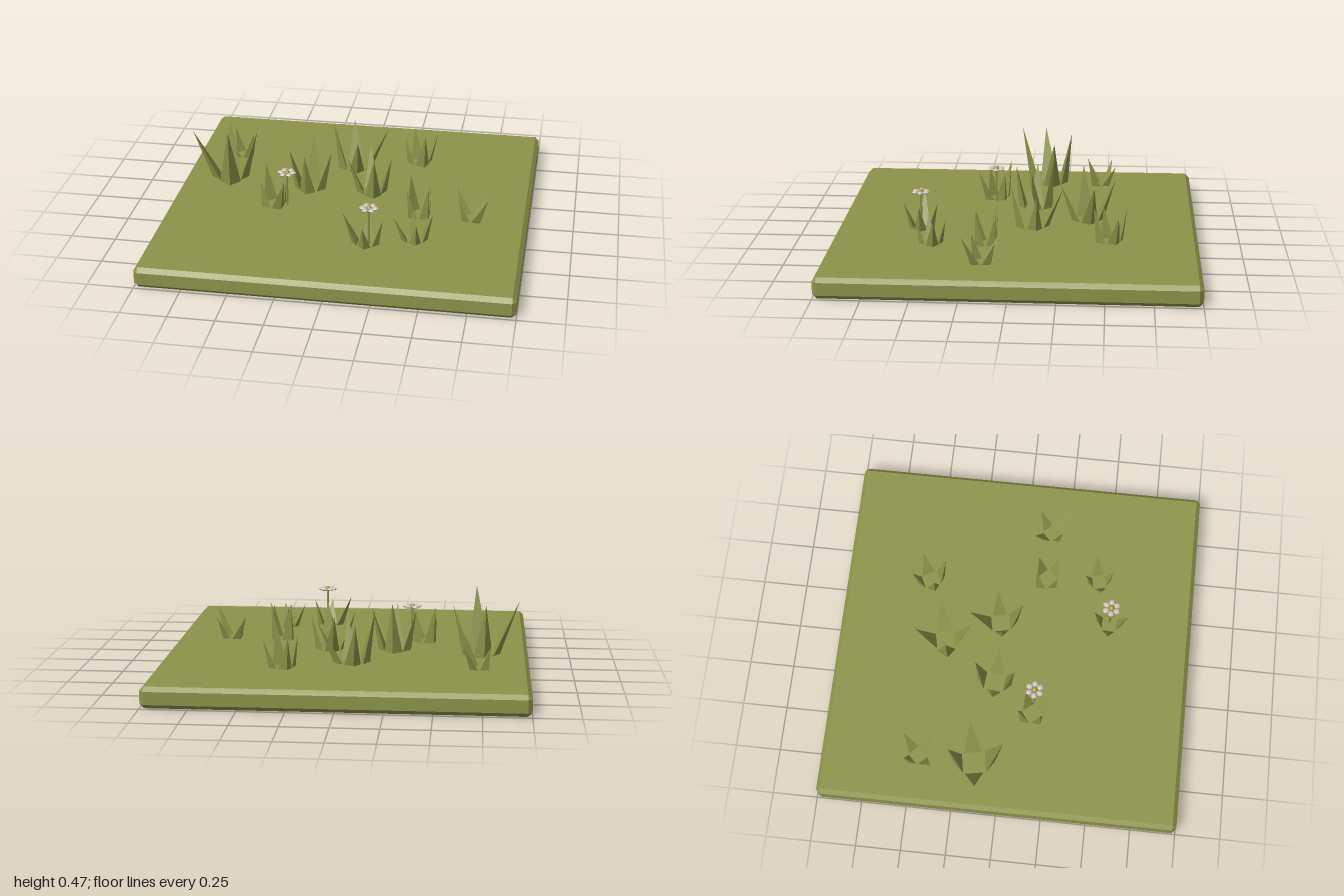
import * as THREE from 'three';
import { ConvexGeometry } from 'three/addons/geometries/ConvexGeometry.js';

const flat = (name, color) => {
  const m = new THREE.MeshStandardMaterial({ color, flatShading: true });
  m.name = name;
  return m;
};

const TOP = 0.115;

// Clumps of four blades a quarter turn apart, the tallest first:
// centre x, z, turn of the tallest blade in degrees, its tip height, reach of each blade
const CLUMPS = [
  [-0.73, -0.46, 45, 0.28, [0.11, 0.12, 0.09, 0.12]],
  [-0.74, -0.15, 80, 0.47, [0.17, 0.21, 0.13, 0.16]],
  [-0.04, -0.39, 168, 0.40, [0.13, 0.16, 0.19, 0.16]],
  [0.32, -0.52, 65, 0.32, [0.10, 0.09, 0.10, 0.11]],
  [-0.26, -0.08, -85, 0.40, [0.11, 0.13, 0.11, 0.12]],
  [0.10, -0.09, 78, 0.37, [0.13, 0.14, 0.17, 0.11]],
  [-0.42, 0.15, 233, 0.33, [0.10, 0.08, 0.13, 0.08]],
  [0.40, 0.15, 225, 0.33, [0.08, 0.08, 0.08, 0.09]],
  [0.69, 0.15, 46, 0.28, [0.14, 0.09, 0.13, 0.11]],
  [0.41, 0.45, -13, 0.27, [0.10, 0.08, 0.11, 0.08]],
  [0.16, 0.53, 183, 0.29, [0.13, 0.09, 0.09, 0.10]],
];
const BLADE_SCALE = [1, 0.82, 0.85, 0.8];

const FLOWERS = [[-0.345, 0.15, 0.315], [0.175, 0.53, 0.33]];

// Slab with every edge chamfered by c
function slabGeometry(hx, hy, hz, c) {
  const pts = [];
  for (const x of [-1, 1]) for (const y of [-1, 1]) for (const z of [-1, 1]) {
    pts.push(new THREE.Vector3(x * hx, y * (hy - c), z * (hz - c)));
    pts.push(new THREE.Vector3(x * (hx - c), y * hy, z * (hz - c)));
    pts.push(new THREE.Vector3(x * (hx - c), y * (hy - c), z * hz));
  }
  return new ConvexGeometry(pts);
}

// Three-sided spike rooted beside the clump centre, leaning out along +x
function bladeGeometry(reach, height) {
  const width = 0.035 + 0.24 * height;
  return new ConvexGeometry([
    new THREE.Vector3(width * 0.55, -0.005, width / 2),
    new THREE.Vector3(width * 0.55, -0.005, -width / 2),
    new THREE.Vector3(width, -0.005, 0),
    new THREE.Vector3(reach, height, 0),
  ]);
}

export function createModel() {
  const model = new THREE.Group();
  model.name = 'grassTile';
  const green = flat('grassGreen', 0x8c9349);
  const white = flat('petalWhite', 0xc9c2b5);
  const yellow = flat('flowerYellow', 0xb49a4a);

  const add = (parent, name, geometry, material, x = 0, y = 0, z = 0) => {
    const mesh = new THREE.Mesh(geometry, material);
    mesh.name = name;
    mesh.position.set(x, y, z);
    parent.add(mesh);
    return mesh;
  };

  // Ground
  add(model, 'ground', slabGeometry(1, TOP / 2, 1, 0.023), green, 0, TOP / 2, 0);

  // Grass
  for (const [x, z, turn, tipHeight, reaches] of CLUMPS) {
    const clump = new THREE.Group();
    clump.name = 'grassClump';
    clump.position.set(x, TOP, z);
    reaches.forEach((reach, i) => {
      const height = (tipHeight - TOP) * BLADE_SCALE[i];
      const blade = add(clump, 'grassBlade', bladeGeometry(reach, height), green);
      blade.rotation.y = -THREE.MathUtils.degToRad(turn + 90 * i);
    });
    model.add(clump);
  }

  // Flowers: thin stem, six flattened petals and a small centre
  const petalGeo = new THREE.SphereGeometry(1, 6, 4);
  petalGeo.scale(0.02, 0.009, 0.018);
  const centreGeo = new THREE.SphereGeometry(1, 6, 4);
  centreGeo.scale(0.017, 0.013, 0.017);
  for (const [x, z, y] of FLOWERS) {
    const flower = new THREE.Group();
    flower.name = 'flower';
    flower.position.set(x, 0, z);
    const length = y - TOP;
    add(flower, 'stem', new THREE.CylinderGeometry(0.006, 0.007, length, 5), green, 0, TOP + length / 2, 0);
    add(flower, 'flowerCentre', centreGeo, yellow, 0, y + 0.003, 0);
    for (let i = 0; i < 6; i++) {
      const a = (i * Math.PI) / 3;
      const petal = add(flower, 'petal', petalGeo, white, 0.034 * Math.cos(a), y, 0.034 * Math.sin(a));
      petal.rotation.y = -a;
    }
    model.add(flower);
  }
  return model;
}
